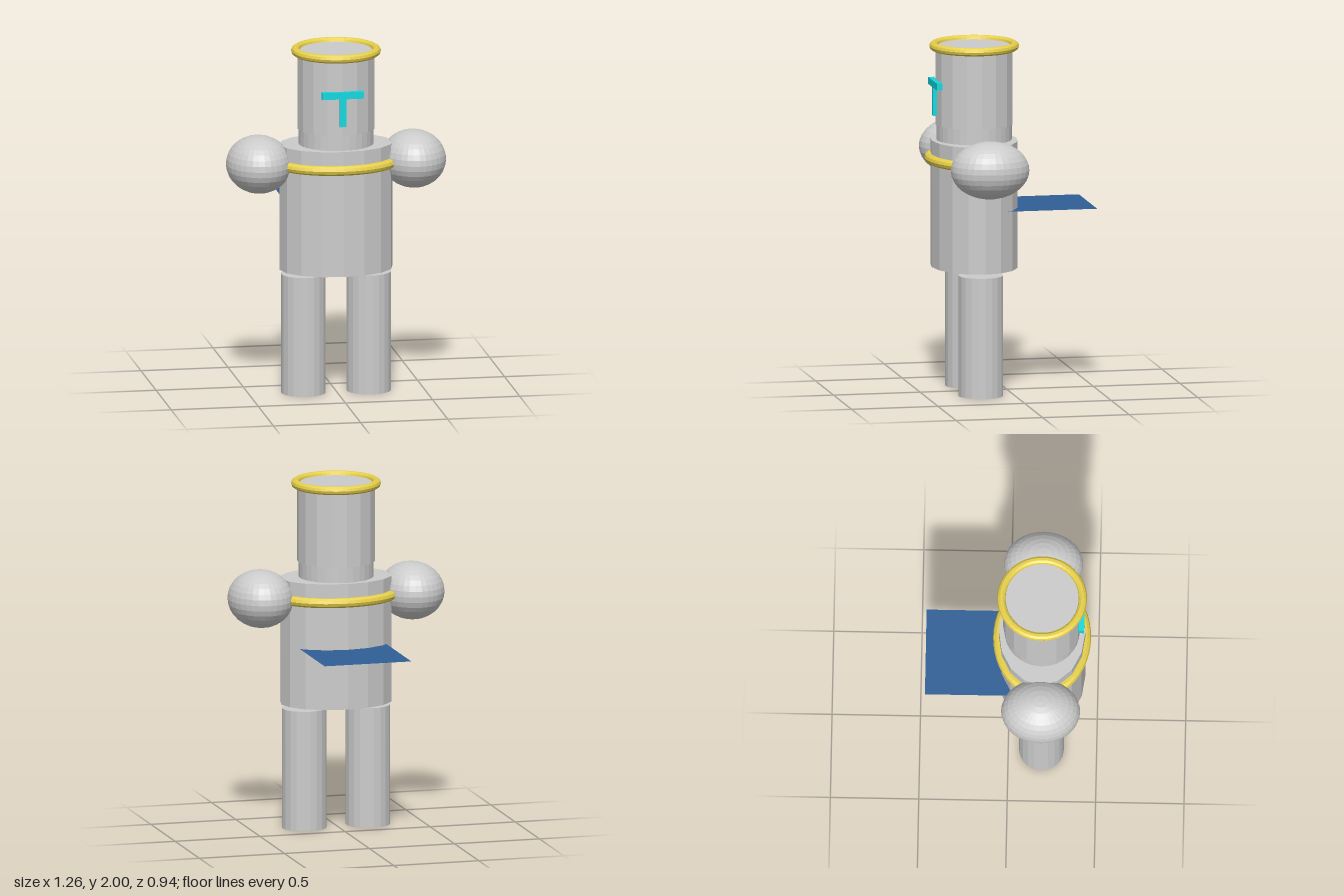
import * as THREE from 'three';

export function createModel() {
  const group = new THREE.Group();
  const Z = 0.188; // depth of the figure's axis

  const mat = (color) => new THREE.MeshStandardMaterial({ color, flatShading: true });
  const grey = mat(0xcccccc);
  const gold = mat(0xe6cf4a);
  const cyan = mat(0x10d8e0);
  const blue = mat(0x2f5f96);
  blue.side = THREE.DoubleSide;

  function add(name, geometry, material, x, y, z = Z) {
    const mesh = new THREE.Mesh(geometry, material);
    mesh.name = name;
    mesh.position.set(x, y, z);
    group.add(mesh);
    return mesh;
  }
  // upright cylinder between two heights
  const column = (name, r, y0, y1, sides, x = 0) =>
    add(name, new THREE.CylinderGeometry(r, r, y1 - y0, sides), grey, x, (y0 + y1) / 2);
  // flat-lying ring
  const ring = (name, r, tube, y) =>
    add(name, new THREE.TorusGeometry(r, tube, 10, 48).rotateX(Math.PI / 2), gold, 0, y);

  // legs and shoulders
  for (const [side, s] of [['left', 1], ['right', -1]]) {
    column(side + 'Leg', 0.127, 0, 0.69, 20, s * 0.187);
    add(side + 'Shoulder', new THREE.SphereGeometry(1, 32, 16), grey, s * 0.444, 1.333)
      .scale.set(0.184, 0.164, 0.224);
  }

  // oval torso with its chest band
  column('torso', 0.245, 0.715, 1.44, 16).scale.x = 1.32;
  ring('chestBand', 0.249, 0.028, 1.333).scale.x = 1.3;

  // neck, head and crown ring
  column('neck', 0.213, 1.4, 1.54, 32);
  column('head', 0.222, 1.53, 1.978, 16);
  ring('crownRing', 0.23, 0.024, 1.976);

  // face slit: crossbar and stem
  add('visorBar', new THREE.BoxGeometry(0.24, 0.04, 0.032), cyan, 0, 1.765, 0.412);
  add('visorStem', new THREE.BoxGeometry(0.036, 0.17, 0.026), cyan, 0, 1.669, 0.415);

  // level sheet reaching out behind the torso
  add('cape', new THREE.PlaneGeometry(0.51, 0.66).rotateX(-Math.PI / 2), blue, 0, 1.06, -0.14);

  return group;
}
